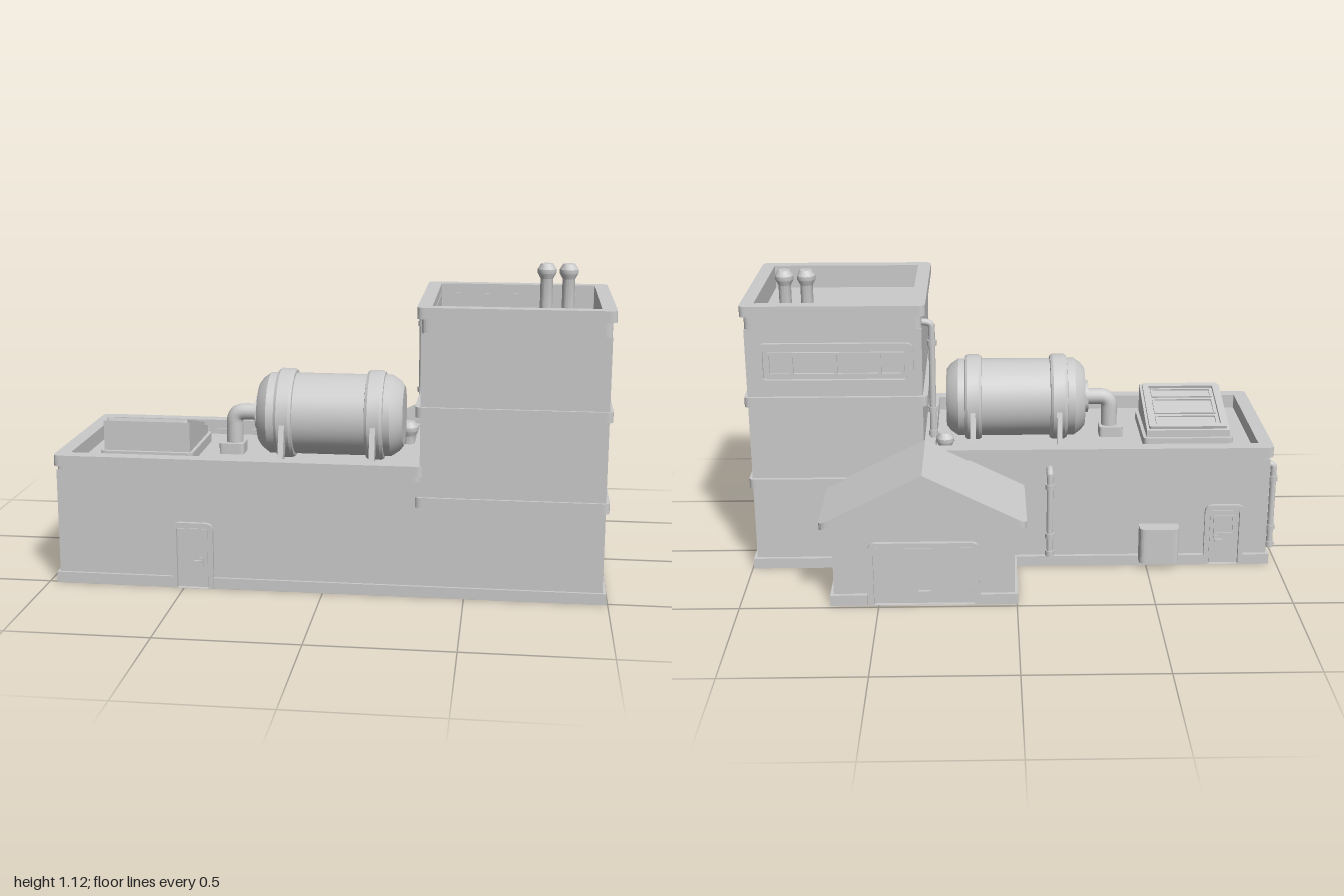
import * as THREE from 'three';
import { toCreasedNormals } from 'three/addons/utils/BufferGeometryUtils.js';

const material = new THREE.MeshStandardMaterial({ color: 0xcccccc, side: THREE.DoubleSide });

function add(parent, name, geometry, x = 0, y = 0, z = 0) {
  const mesh = new THREE.Mesh(geometry, material);
  mesh.name = name;
  mesh.position.set(x, y, z);
  parent.add(mesh);
  return mesh;
}

// Box given by its two extreme corners
function block(parent, name, x0, x1, y0, y1, z0, z1) {
  return add(parent, name, new THREE.BoxGeometry(x1 - x0, y1 - y0, z1 - z0),
    (x0 + x1) / 2, (y0 + y1) / 2, (z0 + z1) / 2);
}

// Rectangle with separate radii for its low and high corners
function roundRect(x0, x1, y0, y1, r, low = r, Type = THREE.Shape) {
  const s = new Type();
  s.moveTo(x0 + low, y0).lineTo(x1 - low, y0);
  if (low) s.quadraticCurveTo(x1, y0, x1, y0 + low);
  s.lineTo(x1, y1 - r).quadraticCurveTo(x1, y1, x1 - r, y1);
  s.lineTo(x0 + r, y1).quadraticCurveTo(x0, y1, x0, y1 - r);
  s.lineTo(x0, y0 + low);
  if (low) s.quadraticCurveTo(x0, y0, x0 + low, y0);
  return s;
}

function extrude(shape, depth) {
  return new THREE.ExtrudeGeometry(shape, { depth, bevelEnabled: false, curveSegments: 5 });
}

// Plan outline in x and z, raised from y0 to y1
function slab(shape, y0, y1) {
  return extrude(shape, y1 - y0).rotateX(Math.PI / 2).translate(0, y1, 0);
}

function frame(x0, x1, y0, y1, border, r, depth) {
  const s = roundRect(x0, x1, y0, y1, r);
  s.holes.push(roundRect(x0 + border, x1 - border, y0 + border, y1 - border, r * 0.5, r * 0.5, THREE.Path));
  return extrude(s, depth);
}

function parapet(x0, x1, z0, z1, border, y0, y1) {
  const s = roundRect(x0, x1, z0, z1, 0.025);
  s.holes.push(roundRect(x0 + border, x1 - border, z0 + border, z1 - border, 0.002, 0.002, THREE.Path));
  return slab(s, y0, y1);
}

function lathe(points, segments = 32) {
  const g = new THREE.LatheGeometry(points.map(([r, y]) => new THREE.Vector2(r, y)), segments);
  return toCreasedNormals(g, 0.5);
}

// Doorway facing +z with an open-bottomed frame, a panel and a handle
function doorway(parent, name, x, z, turn, w, h, { side = 1, window = false, garage = false } = {}) {
  const g = new THREE.Group();
  g.name = name;
  g.position.set(x, 0, z);
  g.rotation.y = turn;
  parent.add(g);
  const s = roundRect(-w / 2, w / 2, 0, h, 0.03, 0);
  s.holes.push(roundRect(-w / 2 + 0.018, w / 2 - 0.018, 0.001, h - 0.018, 0.014, 0, THREE.Path));
  add(g, 'doorFrame', extrude(s, 0.015));
  block(g, 'doorPanel', -w / 2 + 0.022, w / 2 - 0.022, 0.004, h - 0.024, 0, 0.004);
  if (garage) {
    block(g, 'garageHandle', -0.022, 0.022, 0.045, 0.055, 0.004, 0.016);
    return;
  }
  block(g, 'lockPlate', side * 0.03 - 0.007, side * 0.03 + 0.007, 0.08, 0.115, 0.004, 0.008);
  block(g, 'doorHandle', side * 0.02 - 0.014, side * 0.02 + 0.014, 0.096, 0.104, 0.008, 0.017);
  if (window) add(g, 'doorWindow', frame(-0.04, 0.04, 0.12, 0.2, 0.008, 0.006, 0.009));
}

// Downpipe whose elbow turns into a wall lying along local -z
function downpipe(parent, x, z, turn, y0, y1, reach) {
  const g = new THREE.Group();
  g.name = 'downpipe';
  g.position.set(x, 0, z);
  g.rotation.y = turn;
  parent.add(g);
  const h = y1 - y0;
  add(g, 'pipe', new THREE.CylinderGeometry(0.012, 0.012, h - 0.02, 12), 0, y0 + (h - 0.02) / 2, 0);
  const bend = new THREE.QuadraticBezierCurve3(new THREE.Vector3(0, y1 - 0.03, 0),
    new THREE.Vector3(0, y1 - 0.012, 0), new THREE.Vector3(0, y1 - 0.012, -reach));
  add(g, 'elbow', new THREE.TubeGeometry(bend, 8, 0.013, 12));
  for (const t of [0.04, 0.24, 0.8])
    add(g, 'collar', new THREE.CylinderGeometry(0.017, 0.017, 0.02, 12), 0, y0 + h * t, 0);
}

// Mushroom-capped roof vent
function vent(parent, x, z, y0, y1) {
  const h = y1 - y0;
  add(parent, 'roofVent', lathe([[0.023, 0], [0.023, h - 0.055], [0.034, h - 0.035],
    [0.034, h - 0.02], [0.022, h], [0, h]], 16), x, y0, z);
}

function buildShell(model) {
  block(model, 'hallWalls', -0.96, 0.34, 0, 0.42, -0.15, 0.5);
  block(model, 'towerWalls', 0.34, 0.982, 0, 0.94, -0.15, 0.5);
  add(model, 'hallParapet', parapet(-0.97, 0.352, -0.165, 0.51, 0.053, 0.435, 0.475));
  add(model, 'hallUpperWall', parapet(-0.96, 0.342, -0.15, 0.5, 0.043, 0.41, 0.44));
  add(model, 'towerParapet', parapet(0.325, 0.995, -0.165, 0.51, 0.05, 0.99, 1.03));
  add(model, 'towerUpperWall', parapet(0.34, 0.982, -0.15, 0.5, 0.037, 0.93, 0.995));
  for (const y of [0.327, 0.648])
    add(model, 'towerBand', slab(roundRect(0.322, 0.995, -0.165, 0.51, 0.025), y, y + 0.037));

  // Plinth outline, notched at each doorway
  const plan = [[-0.97, -0.165], [-0.87, -0.165], [-0.87, -0.15], [-0.72, -0.15], [-0.72, -0.165],
    [-0.005, -0.165], [-0.005, -0.485], [0.13, -0.485], [0.13, -0.47], [0.54, -0.47], [0.54, -0.485],
    [0.675, -0.485], [0.675, -0.165], [0.995, -0.165], [0.995, 0.51], [-0.392, 0.51], [-0.392, 0.5],
    [-0.542, 0.5], [-0.542, 0.51], [-0.97, 0.51], [-0.97, 0.385], [-0.96, 0.385], [-0.96, 0.235], [-0.97, 0.235]];
  add(model, 'plinth', slab(new THREE.Shape(plan.map(([x, z]) => new THREE.Vector2(x, z))), 0, 0.04));

  doorway(model, 'frontDoor', -0.467, 0.5, 0, 0.15, 0.243);
  doorway(model, 'sideDoor', -0.96, 0.31, -Math.PI / 2, 0.15, 0.243, { side: -1, window: true });
  doorway(model, 'backDoor', -0.795, -0.15, Math.PI, 0.15, 0.243, { side: -1, window: true });
  downpipe(model, -0.98, -0.115, -Math.PI / 2, 0.05, 0.405, 0.025);
  downpipe(model, -0.13, -0.183, Math.PI, 0.05, 0.405, 0.04);
  downpipe(model, 0.305, -0.11, -Math.PI / 2, 0.51, 0.968, 0.04);

  // Utility cabinet on the back wall
  add(model, 'utilityCabinet', slab(roundRect(-0.62, -0.47, -0.21, -0.15, 0.008, 0.025), 0.025, 0.165));

  // Long window high on the back of the tower
  const win = new THREE.Group();
  win.name = 'towerWindow';
  win.position.set(0.655, 0.81, -0.15);
  win.rotation.y = Math.PI;
  model.add(win);
  add(win, 'outerFrame', frame(-0.285, 0.285, -0.08, 0.08, 0.022, 0.03, 0.015));
  add(win, 'innerFrame', frame(-0.25, 0.25, -0.045, 0.045, 0.01, 0.008, 0.01));
  for (const x of [-0.16, 0, 0.16]) block(win, 'windowBar', x - 0.006, x + 0.006, -0.04, 0.04, 0, 0.01);
}

function buildAnnex(model) {
  const annex = new THREE.Group();
  annex.name = 'garageAnnex';
  annex.position.x = 0.335;
  model.add(annex);
  const gable = [[-0.327, 0], [0.327, 0], [0.327, 0.325], [0, 0.488], [-0.327, 0.325]];
  add(annex, 'annexWalls', extrude(new THREE.Shape(gable.map(([x, y]) => new THREE.Vector2(x, y))), 0.32), 0, 0, -0.47);

  // Half roof with rounded outer corner, sheared to the pitch, then mirrored
  const half = new THREE.Shape();
  half.moveTo(0, -0.15).lineTo(0, -0.512).lineTo(0.335, -0.512);
  half.quadraticCurveTo(0.37, -0.512, 0.37, -0.477).lineTo(0.37, -0.15);
  const roof = slab(half, 0.487, 0.512);
  const p = roof.attributes.position;
  for (let i = 0; i < p.count; i++) p.setY(i, p.getY(i) - 0.5 * p.getX(i));
  roof.computeVertexNormals();
  add(annex, 'roofHalf', roof);
  add(annex, 'roofHalf', roof).scale.x = -1;
  doorway(annex, 'garageDoor', 0, -0.47, Math.PI, 0.4, 0.243, { garage: true });
}

function buildTank(model) {
  const tank = new THREE.Group();
  tank.name = 'storageTank';
  tank.position.set(0, 0.575, 0.16);
  model.add(tank);
  const shell = lathe([[0, -0.29], [0.062, -0.29], [0.062, -0.275], [0.112, -0.275], [0.13, -0.262], [0.15, -0.235],
    [0.15, 0.215], [0.13, 0.245], [0.11, 0.26], [0, 0.26]], 40);
  add(tank, 'tankShell', shell).rotation.z = -Math.PI / 2;
  for (const x of [-0.173, 0.157]) {
    const band = lathe([[0.148, -0.034], [0.16, -0.032], [0.166, -0.022], [0.166, 0.022], [0.16, 0.032], [0.148, 0.034]], 40);
    add(tank, 'tankBand', band, x).rotation.z = -Math.PI / 2;
    // Splayed legs on both sides
    for (const side of [-1, 1]) {
      const leg = new THREE.Shape();
      leg.moveTo(0.13, 0).lineTo(0.162, 0).lineTo(0.21, -0.155).lineTo(0.17, -0.155).lineTo(0.12, -0.06);
      const g = extrude(leg, 0.02).rotateY(-Math.PI / 2).translate(0.01, 0, 0);
      add(tank, 'tankLeg', g, x, 0, 0).scale.z = side;
    }
  }

  // Outlet pipe bending down into the roof
  const path = new THREE.CurvePath();
  const v = (x, y) => new THREE.Vector3(x, y, 0);
  path.add(new THREE.LineCurve3(v(-0.28, 0), v(-0.335, 0)));
  path.add(new THREE.QuadraticBezierCurve3(v(-0.335, 0), v(-0.375, 0), v(-0.375, -0.04)));
  path.add(new THREE.LineCurve3(v(-0.375, -0.04), v(-0.375, -0.155)));
  add(tank, 'outletPipe', new THREE.TubeGeometry(path, 20, 0.031, 16));
  add(tank, 'outletBase', slab(roundRect(-0.428, -0.335, -0.046, 0.046, 0.015), -0.155, -0.115));
}

function buildSkylight(model) {
  const sky = new THREE.Group();
  sky.name = 'skylight';
  sky.position.set(-0.67, 0, 0.172);
  model.add(sky);
  add(sky, 'curb', slab(roundRect(-0.173, 0.173, -0.173, 0.173, 0.02), 0.42, 0.455));
  const side = new THREE.Shape();
  side.moveTo(-0.158, 0.42).lineTo(0.158, 0.42).lineTo(0.158, 0.565).lineTo(-0.158, 0.483);
  add(sky, 'skylightBody', extrude(side, 0.32).rotateY(-Math.PI / 2).translate(0.16, 0, 0));

  // Glazing frame lying on the slope
  const glazing = new THREE.Group();
  glazing.name = 'glazing';
  glazing.position.set(0, 0.522, 0);
  glazing.rotation.x = -Math.PI / 2 - Math.atan2(0.082, 0.316);
  sky.add(glazing);
  add(glazing, 'glazingFrame', frame(-0.15, 0.15, -0.155, 0.155, 0.022, 0.01, 0.014));
  for (const [y0, y1] of [[-0.125, -0.065], [-0.052, 0.052], [0.065, 0.125]])
    add(glazing, 'paneFrame', frame(-0.12, 0.12, y0, y1, 0.008, 0.003, 0.008));
}

export function createModel() {
  const model = new THREE.Group();
  model.name = 'factory';
  buildShell(model);
  buildAnnex(model);
  buildTank(model);
  buildSkylight(model);
  vent(model, 0.765, 0, 0.94, 1.125);
  vent(model, 0.845, 0, 0.94, 1.125);
  vent(model, 0.263, -0.05, 0.42, 0.505);
  return model;
}
